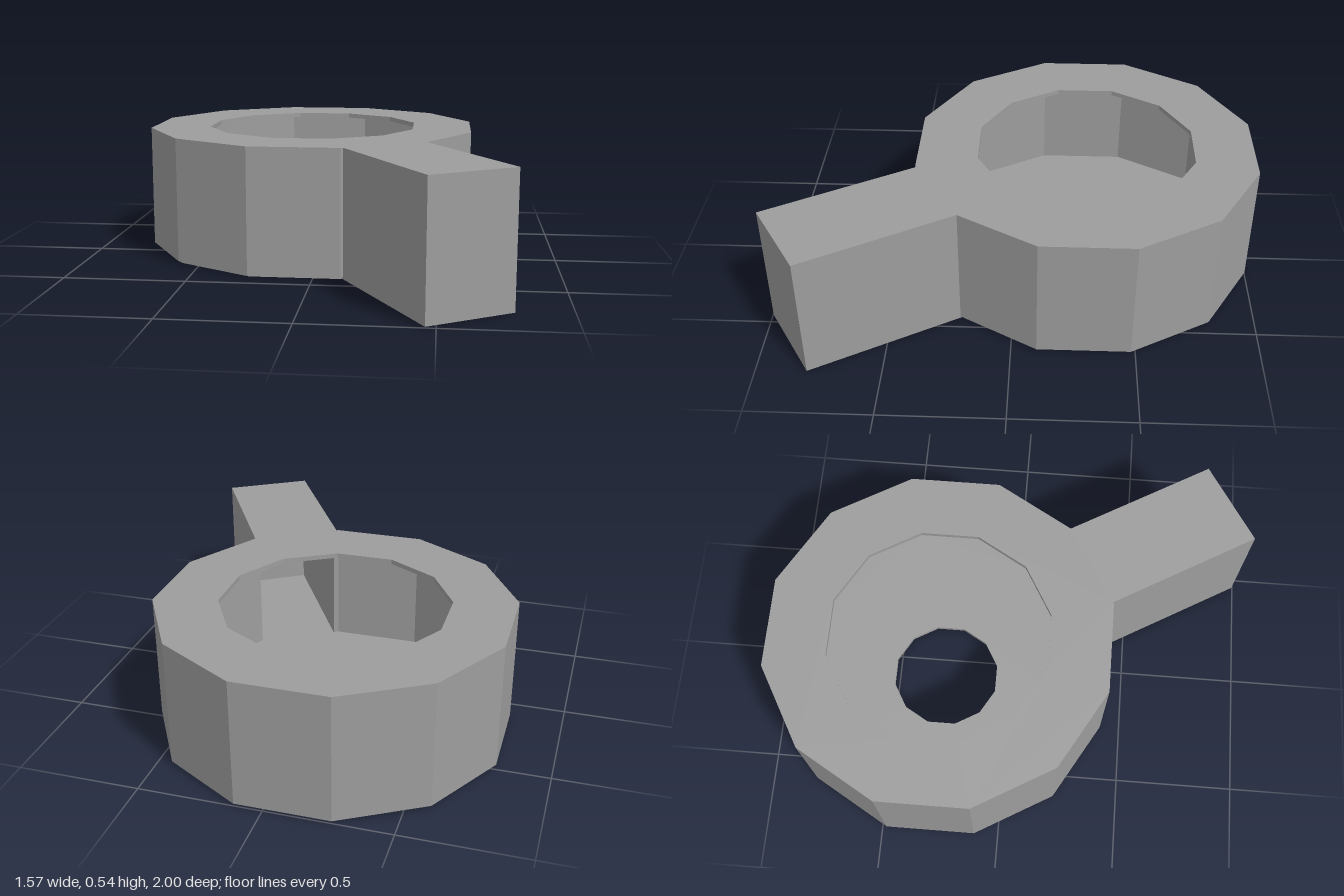
import * as THREE from 'three';

const APOTHEM = 0.7075;  // centre to flat of the twelve-sided body
const ARM_LEFT = 0.199;  // sides of the arm, slightly off the body's axis
const ARM_RIGHT = -0.179;
const END_LEFT = 1.371;  // centre to the two corners of the arm's slanted end
const END_RIGHT = 1.385;
const HEIGHT = 0.535;
const SKIN = 0.016;      // wall thickness

const material = new THREE.MeshStandardMaterial({ color: 0x9d9d9d, flatShading: true, side: THREE.DoubleSide });

// Twelve-sided polygon with a flat facing +x
function polygon(apothem) {
  const r = apothem / Math.cos(Math.PI / 12);
  return Array.from({ length: 12 }, (_, i) => {
    const a = Math.PI / 12 + (i * Math.PI) / 6;
    return new THREE.Vector2(r * Math.cos(a), r * Math.sin(a));
  });
}

// Body outline that runs out into the arm along +x, shrunk by an inset
function outline(inset) {
  const a = APOTHEM - inset;
  const left = ARM_LEFT - inset;
  const right = ARM_RIGHT + inset;
  return [
    new THREE.Vector2((a - 0.5 * left) / Math.cos(Math.PI / 6), left),
    ...polygon(a).slice(1),
    new THREE.Vector2(a, right),
    new THREE.Vector2(END_RIGHT - inset, right),
    new THREE.Vector2(END_LEFT - inset, left),
  ];
}

// Flat slab from an outline, standing between two heights
function slab(name, points, holes, bottom, top) {
  const shape = new THREE.Shape(points);
  shape.holes = holes.map((hole) => new THREE.Path(hole));
  const geometry = new THREE.ExtrudeGeometry(shape, { depth: top - bottom, bevelEnabled: false });
  geometry.rotateX(-Math.PI / 2).translate(0, bottom, 0);
  const mesh = new THREE.Mesh(geometry, material);
  mesh.name = name;
  return mesh;
}

export function createModel() {
  const body = new THREE.Group();
  body.name = 'hollowRingWithArm';

  // Thin side walls around body and arm
  body.add(slab('sideWalls', outline(0), [outline(SKIN)], 0.01, HEIGHT - 0.02));

  // Top plate with the wide opening
  body.add(slab('topPlate', outline(0), [polygon(0.453)], HEIGHT - 0.02, HEIGHT));

  // Inset base plate with the small hole
  body.add(slab('basePlate', polygon(APOTHEM - SKIN), [polygon(0.2265)], 0, 0.018));

  // Floor of the hollow arm, a small step above the base
  const start = APOTHEM - SKIN;
  const floor = [
    new THREE.Vector2(start, ARM_RIGHT),
    new THREE.Vector2(END_RIGHT, ARM_RIGHT),
    new THREE.Vector2(END_LEFT, ARM_LEFT),
    new THREE.Vector2(start, ARM_LEFT),
  ];
  body.add(slab('armFloor', floor, [], 0.003, 0.012));

  // Swing the arm toward the front left and centre the whole
  body.rotation.y = -Math.PI / 3;
  body.position.set(-0.076, 0, -0.2925);
  const model = new THREE.Group();
  model.add(body);
  return model;
}
